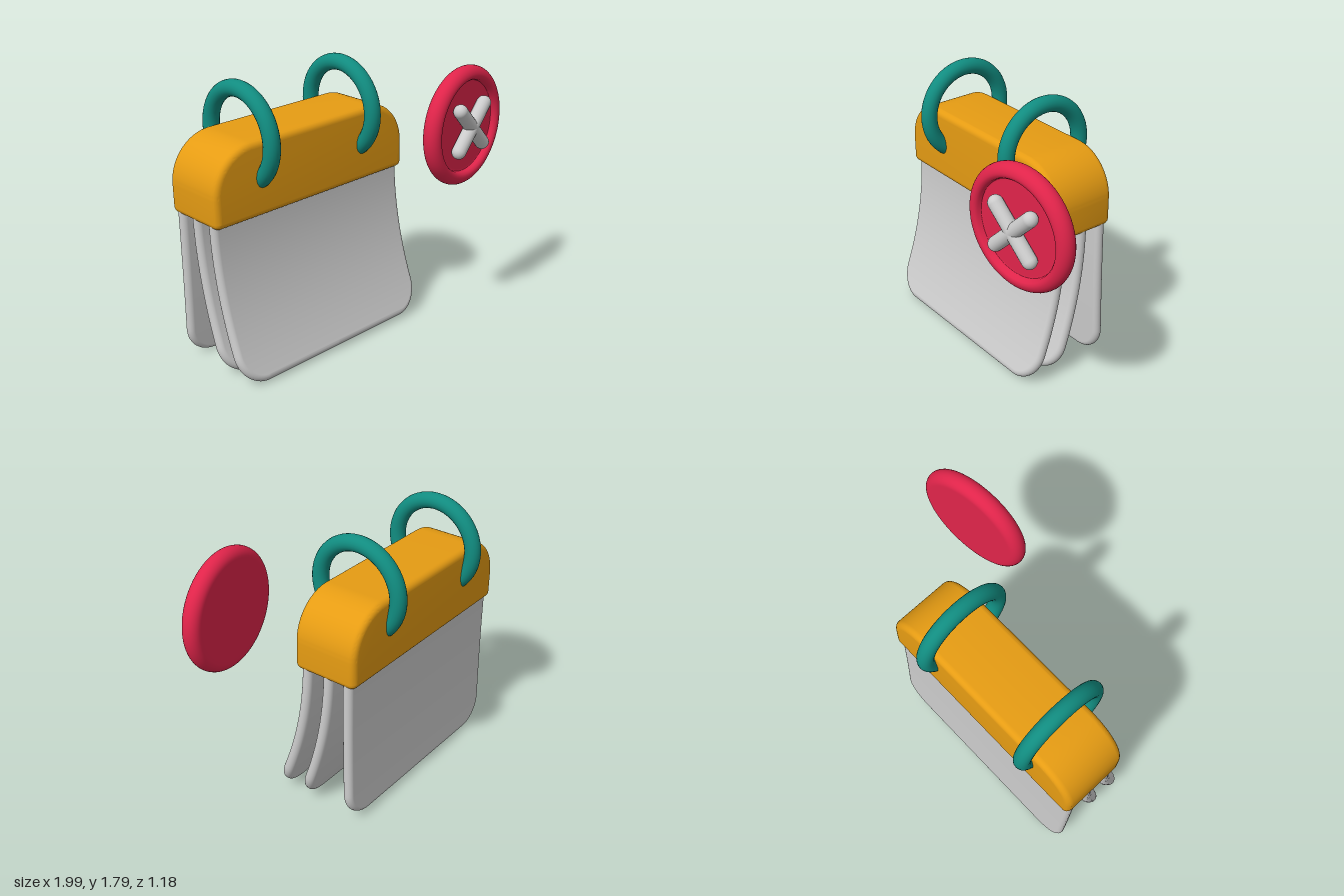
import * as THREE from 'three';
import { toCreasedNormals } from 'three/addons/utils/BufferGeometryUtils.js';

const paint = (color) => new THREE.MeshStandardMaterial({ color });

function addMesh(parent, name, geometry, material, x = 0, y = 0, z = 0) {
  const mesh = new THREE.Mesh(geometry, material);
  mesh.name = name;
  mesh.position.set(x, y, z);
  parent.add(mesh);
  return mesh;
}

// Header block: rounded top corners, softened edges all round
function headerGeometry(halfWidth, bottom, top, depth) {
  const R = 0.29, r = 0.04, bevel = 0.04;
  const s = new THREE.Shape();
  s.moveTo(-halfWidth + r, bottom);
  s.absarc(halfWidth - r, bottom + r, r, -Math.PI / 2, 0);
  s.absarc(halfWidth - R, top - R, R, 0, Math.PI / 2);
  s.absarc(-halfWidth + R, top - R, R, Math.PI / 2, Math.PI);
  s.absarc(-halfWidth + r, bottom + r, r, Math.PI, Math.PI * 1.5);
  const geo = new THREE.ExtrudeGeometry(s, {
    depth: depth - 2 * bevel, bevelThickness: bevel, bevelSize: bevel,
    bevelOffset: -bevel, bevelSegments: 6, curveSegments: 16,
  });
  geo.translate(0, 0, -depth / 2 + bevel);
  return toCreasedNormals(geo, 0.5);
}

// Page: rings following the rounded outline downward, bent forward by sweep
function pageGeometry(halfWidth, top, bottom, sweep) {
  const R = 0.19, b = 0.034, rows = 24, arc = 14, steps = 10;
  const height = top - bottom;
  const outline = []; // right half: x, y, outward normal x, y
  for (let i = 0; i < rows; i++) {
    outline.push([halfWidth, top - (height - R) * i / rows, 1, 0]);
  }
  for (let i = 0; i <= arc; i++) {
    const a = Math.PI / 2 * i / arc, c = Math.cos(a), s = -Math.sin(a);
    outline.push([halfWidth - R + R * c, bottom + R + R * s, c, s]);
  }
  outline.push([0, bottom, 0, -1]);

  const pos = [], index = [], n = 2 * (steps + 1);
  outline.forEach(([x, y, nx, ny], i) => {
    for (let j = 0; j < n; j++) {
      const right = j <= steps;
      const phi = Math.PI * (0.5 - (right ? j : n - 1 - j) / steps);
      const inset = b * (1 - Math.cos(phi)), z = b * Math.sin(phi);
      const py = y - ny * inset, t = (top - py) / height;
      pos.push((right ? 1 : -1) * (x - nx * inset),
        py + z * 2 * sweep * t / height, z + sweep * t * t);
      if (i < outline.length - 1) {
        const a = i * n + j, d = i * n + (j + 1) % n;
        index.push(a, a + n, d, d, a + n, d + n);
      }
    }
  });
  const geo = new THREE.BufferGeometry();
  geo.setAttribute('position', new THREE.Float32BufferAttribute(pos, 3));
  geo.setIndex(index);
  geo.computeVertexNormals();
  return geo;
}

// Button disc: rounded rim around a shallow recess
function buttonGeometry() {
  const p = [[0, -0.06], [0.31, -0.06]];
  for (let i = 0; i <= 16; i++) {
    const a = Math.PI * (i / 16 - 0.5);
    p.push([0.325 + 0.06 * Math.cos(a), 0.06 * Math.sin(a)]);
  }
  p.push([0.31, 0.056], [0.299, 0.042], [0.295, 0.022], [0.292, 0.02], [0.28, 0.02], [0, 0.02]);
  const geo = new THREE.LatheGeometry(p.map(([x, y]) => new THREE.Vector2(x, y)), 64);
  return geo.rotateX(Math.PI / 2);
}

export function createModel() {
  const model = new THREE.Group();
  model.name = 'calendar';
  const grey = paint(0xcccccc), orange = paint(0xe69c13);
  const teal = paint(0x118c80), red = paint(0xe0244a);

  // Calendar, turned and leaning slightly
  const pad = new THREE.Group();
  pad.name = 'calendarPad';
  pad.position.set(-0.22, 1.2, -0.23);
  pad.rotation.set(0, -0.119, 0.018, 'YXZ');
  model.add(pad);

  addMesh(pad, 'header', headerGeometry(0.76, -0.205, 0.268, 0.44), orange);

  // Pages from front to back
  [['frontPage', 0.145, 0.24], ['middlePage', -0.012, 0.215], ['backPage', -0.157, -0.02]]
    .forEach(([name, z, sweep]) => {
      addMesh(pad, name, pageGeometry(0.752, -0.15, -1.185, sweep), grey, 0, 0, z);
    });

  // Binder rings
  for (const x of [-0.405, 0.4]) {
    const ring = addMesh(pad, x < 0 ? 'rightRing' : 'leftRing',
      new THREE.TorusGeometry(0.285, 0.052, 20, 64), teal, x, 0.246, 0.022);
    ring.rotation.y = Math.PI / 2;
  }

  // Round button with crossed bars
  const button = new THREE.Group();
  button.name = 'closeButton';
  button.position.set(0.61, 1.345, 0.475);
  model.add(button);
  addMesh(button, 'buttonDisc', buttonGeometry(), red);
  for (const side of [-1, 1]) {
    const bar = addMesh(button, 'crossBar',
      new THREE.CapsuleGeometry(0.046, 0.37, 8, 20), grey, 0, 0, 0.066);
    bar.rotation.z = side * Math.PI / 4;
  }
  return model;
}
